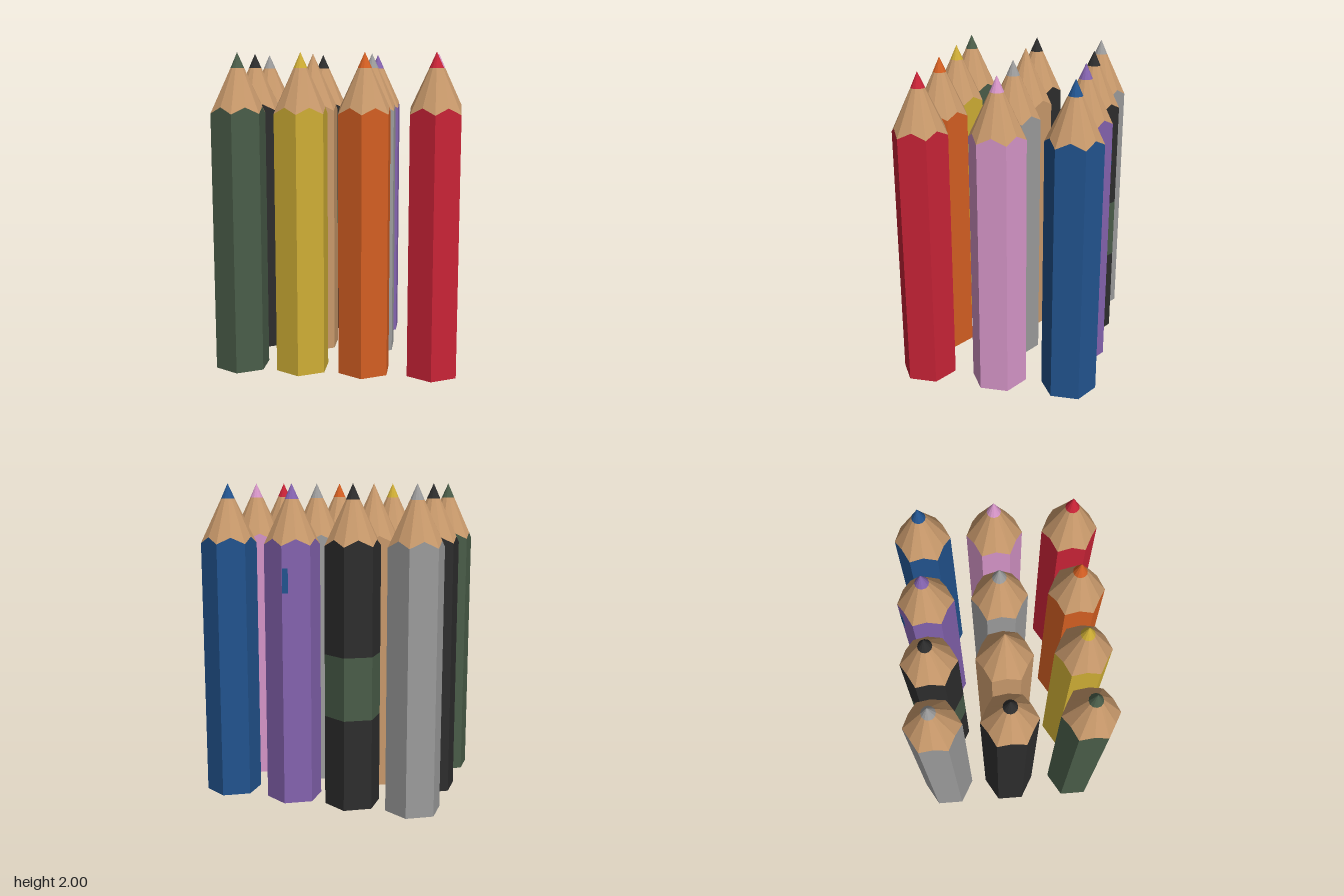
import * as THREE from 'three';

const mat = (name, color) => {
  const m = new THREE.MeshStandardMaterial({ color });
  m.name = name;
  return m;
};

const R = 0.175;                          // hexagon corner radius
const APOTHEM = R * Math.cos(Math.PI / 6); // hexagon face distance
const BASE = 0.01, LEAD_Y = 1.905, LEAD_R = 0.043;
const SIDES = 12;                         // corners alternate with face middles

// A ring of 12 points; corner and mid each give [radius, height]
function ring(corner, mid = corner) {
  return Array.from({ length: SIDES }, (_, i) => {
    const [r, y] = i % 2 ? mid : corner;
    const a = (i / SIDES) * Math.PI * 2;
    return [r * Math.sin(a), y, r * Math.cos(a)];
  });
}
const hexRing = (y) => ring([R, y], [APOTHEM, y]);
// Scalloped line where paint meets sharpened wood
const scallop = ring([R, 1.63], [APOTHEM, 1.67]);

// Flat-faced skin through rings, from the lowest to the highest
function loft(rings) {
  const pos = [];
  for (let k = 0; k + 1 < rings.length; k++) {
    const lo = rings[k], hi = rings[k + 1];
    for (let i = 0; i < SIDES; i++) {
      const j = (i + 1) % SIDES;
      pos.push(...lo[i], ...lo[j], ...hi[j], ...lo[i], ...hi[j], ...hi[i]);
    }
  }
  const g = new THREE.BufferGeometry();
  g.setAttribute('position', new THREE.Float32BufferAttribute(pos, 3));
  g.computeVertexNormals();
  return g;
}

export function createModel() {
  const model = new THREE.Group();
  model.name = 'pencilSet';

  const c = {
    green: mat('green', 0x4a5d49),
    yellow: mat('yellow', 0xcfae35),
    orange: mat('orange', 0xd45f22),
    red: mat('red', 0xc92337),
    pink: mat('pink', 0xd695c8),
    blue: mat('blue', 0x22548f),
    purple: mat('purple', 0x8463af),
    black: mat('black', 0x2d2d2d),
    grey: mat('grey', 0x9c9c9c),
    wood: mat('wood', 0xc8996b),
  };

  const add = (parent, name, geometry, material) => {
    const mesh = new THREE.Mesh(geometry, material);
    mesh.name = name;
    parent.add(mesh);
    return mesh;
  };

  // Shared shapes
  const bottom = ring([0, BASE]);
  const leadRing = ring([LEAD_R, LEAD_Y]);
  const bodyGeo = loft([bottom, hexRing(BASE), scallop]);
  const woodGeo = loft([scallop, leadRing]);
  const leadGeo = loft([leadRing, ring([0, 2])]);

  function pencil(colour, x, z) {
    const g = new THREE.Group();
    g.name = colour + 'Pencil';
    g.position.set(x, 0, z);
    const paint = c[colour];
    if (colour === 'black' && z < -0.3) {
      // Black body with a green band around its middle
      add(g, 'lowerBody', loft([bottom, hexRing(BASE), hexRing(0.58)]), paint);
      add(g, 'band', loft([hexRing(0.58), hexRing(0.97)]), c.green);
      add(g, 'upperBody', loft([hexRing(0.97), scallop]), paint);
    } else {
      add(g, 'body', bodyGeo, paint);
    }
    add(g, 'sharpenedWood', woodGeo, c.wood);
    add(g, 'leadTip', leadGeo, paint);

    // Lead end underneath; it stands proud on the pink pencil
    const h = colour === 'pink' ? 0.01 : 0.002;
    const end = add(g, 'leadEnd', new THREE.CylinderGeometry(0.078, 0.078, h, 24), paint);
    end.position.y = BASE - h / 2;

    if (colour === 'purple') {
      // Small blue mark on a rear face, beside the back corner
      const mark = add(g, 'paintMark', new THREE.BoxGeometry(0.035, 0.15, 0.004), c.blue);
      const a = Math.PI + Math.PI / 6;
      mark.rotation.y = a;
      mark.position.set(
        Math.sin(a) * APOTHEM + Math.cos(a) * -0.068,
        1.42,
        Math.cos(a) * APOTHEM - Math.sin(a) * -0.068
      );
    }
    model.add(g);
  }

  // Four columns by three rows, back to front
  const columns = [-0.612, -0.22, 0.173, 0.602];
  const rows = [
    [-0.464, ['grey', 'black', 'purple', 'blue']],
    [-0.013, ['black', 'wood', 'grey', 'pink']],
    [0.46, ['green', 'yellow', 'orange', 'red']],
  ];
  for (const [z, colours] of rows) {
    colours.forEach((name, i) => pencil(name, columns[i] + (name === 'pink' ? 0.006 : 0), z));
  }
  return model;
}
